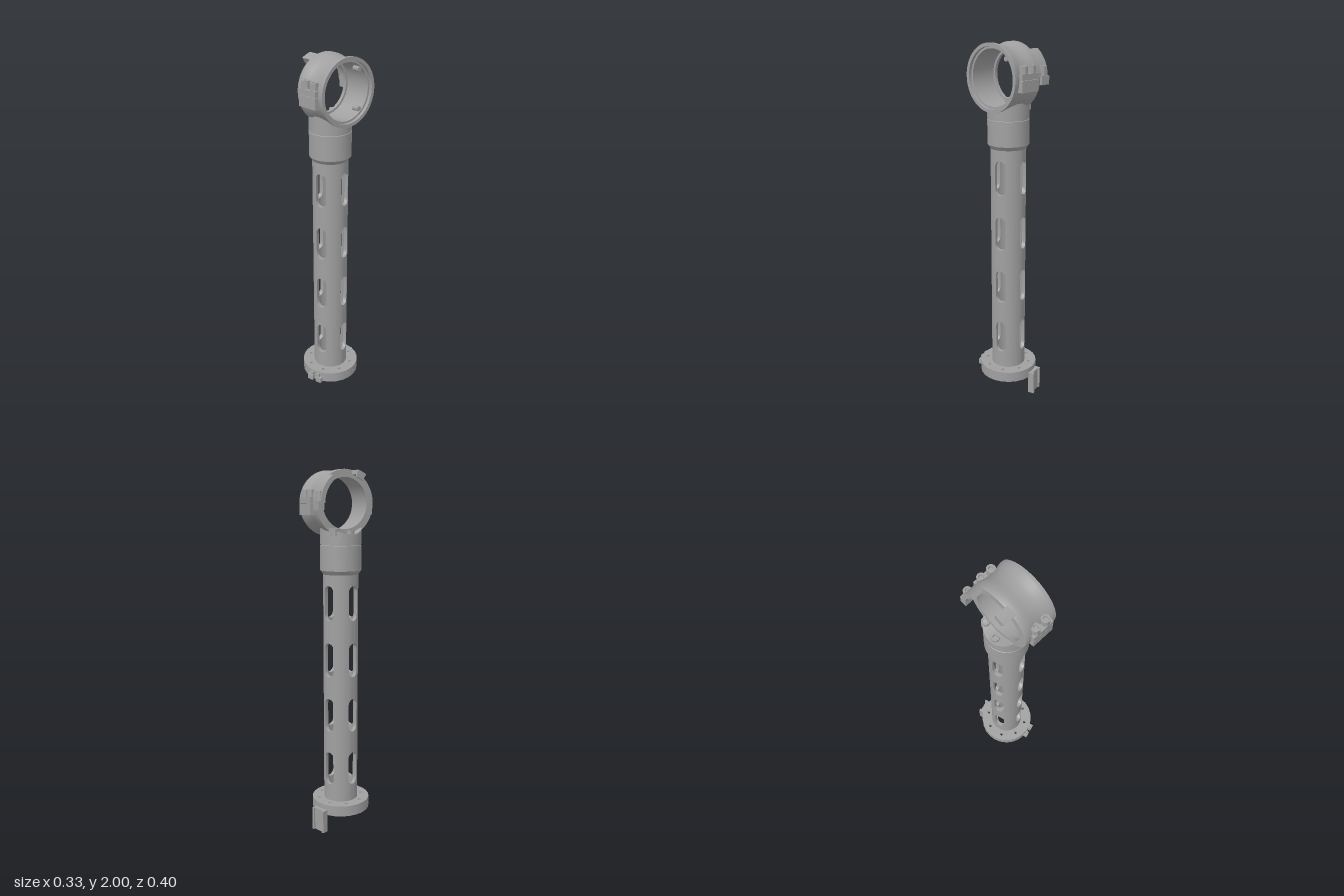
import * as THREE from 'three';
import { toCreasedNormals } from 'three/addons/utils/BufferGeometryUtils.js';

const SKEW = THREE.MathUtils.degToRad(8);
const grey = new THREE.MeshStandardMaterial({ color: 0xa0a0a0 });
grey.name = 'plain grey';

function add(parent, name, geometry, x = 0, y = 0, z = 0) {
  const mesh = new THREE.Mesh(toCreasedNormals(geometry, 0.6), grey);
  mesh.name = name;
  mesh.position.set(x, y, z);
  parent.add(mesh);
  return mesh;
}

// Closed or open profile of [radius, height] pairs turned around y
const lathe = (pts, sides = 48) =>
  new THREE.LatheGeometry(pts.map(p => new THREE.Vector2(p[0], p[1])), sides);

// Hollow ring standing on its local y = 0
const sleeve = (outer, inner, h, sides = 24) =>
  lathe([[inner, 0], [outer, 0], [outer, h], [inner, h], [inner, 0]], sides);

// Screw boss with a sunken bore
const screwBoss = (r, h) =>
  lathe([[r, 0], [r, h], [r * 0.58, h], [r * 0.5, h - 0.012], [0, h - 0.012]], 24);

// Tube wall pierced on four sides by rounded slots
function slottedTube(outer, inner, y0, y1, centres, halfWidth, halfHeight) {
  const pos = [];
  const at = (p, y, out) => {
    const a = out ? p.o : p.i, r = out ? outer : inner;
    return [r * Math.sin(a), y, r * Math.cos(a)];
  };
  const quad = (a, b, c, d) => pos.push(...a, ...b, ...c, ...a, ...c, ...d);
  const straight = halfHeight - halfWidth;
  const ringPts = [];
  for (let q = 0; q < 4; q++) {
    const turn = q * Math.PI / 2;
    const n = 10, m = 8;
    for (let k = 0; k <= n; k++) {
      const u = -halfWidth * Math.cos(Math.PI * k / n);
      ringPts.push({
        o: turn + Math.asin(u / outer), i: turn + Math.asin(u / inner),
        rise: straight + Math.sqrt(Math.max(0, halfWidth ** 2 - u * u)),
        slot: k < n, edge: k === 0 ? -1 : k === n ? 1 : 0
      });
    }
    const o = Math.asin(halfWidth / outer), i = Math.asin(halfWidth / inner);
    for (let k = 1; k < m; k++) {
      const f = k / m;
      ringPts.push({
        o: turn + o + f * (Math.PI / 2 - 2 * o),
        i: turn + i + f * (Math.PI / 2 - 2 * i), slot: false, edge: 0
      });
    }
  }
  ringPts.forEach((p, k) => {
    const s = ringPts[(k + 1) % ringPts.length];
    // Solid spans of this strip, from the foot to the top
    const lows = [[y0, y0]], highs = [];
    if (p.slot) centres.forEach(c => {
      highs.push([c - p.rise, c - s.rise]);
      lows.push([c + p.rise, c + s.rise]);
    });
    highs.push([y1, y1]);
    lows.forEach((lo, j) => {
      const hi = highs[j];
      quad(at(p, lo[0], true), at(s, lo[1], true), at(s, hi[1], true), at(p, hi[0], true));
      quad(at(s, lo[1], false), at(p, lo[0], false), at(p, hi[0], false), at(s, hi[1], false));
      quad(at(p, hi[0], true), at(s, hi[1], true), at(s, hi[1], false), at(p, hi[0], false));
      quad(at(p, lo[0], false), at(s, lo[1], false), at(s, lo[1], true), at(p, lo[0], true));
    });
    // Upright cheeks of the slots
    if (p.edge) centres.forEach(c => {
      const b = c - straight, t = c + straight;
      const near = p.edge < 0, far = !near;
      quad(at(p, b, near), at(p, b, far), at(p, t, far), at(p, t, near));
    });
  });
  const g = new THREE.BufferGeometry();
  g.setAttribute('position', new THREE.Float32BufferAttribute(pos, 3));
  return g;
}

// Piece of the head ring between two angles, running along the ring axis
function ringTab(from, to, outer, inner, length) {
  const a = THREE.MathUtils.degToRad(from), b = THREE.MathUtils.degToRad(to);
  const shape = new THREE.Shape();
  shape.absarc(0, 0, outer, a, b, false);
  shape.absarc(0, 0, inner, b, a, true);
  return new THREE.ExtrudeGeometry(shape, { depth: length, bevelEnabled: false, curveSegments: 10 })
    .rotateY(Math.PI / 2);
}

function buildBase() {
  const base = new THREE.Group();
  base.name = 'base';
  // Drilled flange plate with a hollow rim beneath
  const disc = new THREE.Shape().absarc(0, 0, 0.163, 0, Math.PI * 2);
  const hole = (x, y, r) => disc.holes.push(new THREE.Path().absarc(x, y, r, 0, Math.PI * 2));
  hole(0, 0, 0.058);
  for (let k = 0; k < 8; k++) {
    const a = (k + 0.5) * Math.PI / 4 - 0.01;
    hole(0.125 * Math.cos(a), 0.125 * Math.sin(a), 0.009);
  }
  const plate = new THREE.ExtrudeGeometry(disc, { depth: 0.03, bevelEnabled: false, curveSegments: 12 })
    .rotateX(-Math.PI / 2);
  add(base, 'flangePlate', plate, 0, 0.13, 0).rotation.y = -0.14;
  add(base, 'flangeRim', sleeve(0.163, 0.143, 0.03, 24), 0, 0.1, 0);
  // Front latch: two hooked nubs
  for (const s of [-1, 1]) {
    add(base, 'latchNub', new THREE.BoxGeometry(0.036, 0.03, 0.03), s * 0.027, 0.115, 0.165);
    add(base, 'latchHook', new THREE.BoxGeometry(0.018, 0.022, 0.02), s * 0.02, 0.14, 0.163);
  }
  // Rear foot with two ribs
  add(base, 'footPlate', new THREE.BoxGeometry(0.088, 0.13, 0.026), 0, 0.065, -0.168);
  for (const s of [-1, 1])
    add(base, 'footRib', new THREE.BoxGeometry(0.014, 0.13, 0.012), s * 0.037, 0.065, -0.184);
  base.rotation.y = SKEW;
  return base;
}

function buildHead() {
  const head = new THREE.Group();
  head.name = 'head';
  // Spool-shaped ring with inner lips, axis along x
  const ring = lathe([
    [0.173, -0.05], [0.175, -0.045], [0.175, -0.012], [0.168, 0.012], [0.164, 0.04], [0.164, 0.065],
    [0.167, 0.09], [0.174, 0.115], [0.175, 0.122], [0.175, 0.135], [0.157, 0.135], [0.157, 0.118],
    [0.146, 0.118], [0.146, -0.032], [0.134, -0.032], [0.134, -0.05], [0.173, -0.05]
  ], 64).rotateZ(-Math.PI / 2);
  add(head, 'clampRing', ring);
  // Tabs on the left end
  add(head, 'upperTab', ringTab(105, 123, 0.175, 0.152, 0.07), -0.105, 0, 0);
  add(head, 'upperTabTip', ringTab(105, 123, 0.175, 0.138, 0.01), -0.105, 0, 0);
  add(head, 'rearTab', ringTab(0, 54, 0.175, 0.15, 0.07), -0.105, 0, 0);
  add(head, 'rearTabBoss', screwBoss(0.021, 0.05), -0.074, 0.01, -0.166);
  add(head, 'rearTabLug', new THREE.BoxGeometry(0.055, 0.045, 0.035), -0.075, -0.012, -0.17);
  // Split clamp ears with paired screws, front and rear
  for (const s of [-1, 1]) {
    add(head, 'lowerEar', new THREE.BoxGeometry(0.12, 0.058, 0.036), 0.042, -0.031, s * 0.173);
    add(head, 'upperEar', new THREE.BoxGeometry(0.12, 0.03, 0.036), 0.042, 0.015, s * 0.173);
    for (const a of [0.012, 0.072])
      add(head, 'earScrewBoss', screwBoss(0.022, 0.04), a, 0.028, s * 0.169);
  }
  // Small pegs inside the right end
  for (const s of [-1, 1])
    add(head, 'innerPeg', new THREE.CylinderGeometry(0.013, 0.013, 0.04, 16).rotateZ(Math.PI / 2),
      0.095, s * 0.1, -0.09);
  head.position.set(0, 1.825, -0.003);
  head.rotation.y = -SKEW;
  return head;
}

function buildCollar() {
  const collar = new THREE.Group();
  collar.name = 'collar';
  add(collar, 'collarSleeve', lathe([
    [0.074, 1.45], [0.096, 1.45], [0.112, 1.472], [0.112, 1.605], [0.109, 1.607], [0.109, 1.612],
    [0.074, 1.612], [0.074, 1.45]
  ]));
  // Neck whose top is shaped as a saddle under the ring
  const neck = new THREE.CylinderGeometry(0.112, 0.112, 0.1, 48).translate(0, 1.661, 0);
  const p = neck.attributes.position;
  for (let k = 0; k < p.count; k++)
    if (p.getY(k) > 1.66) p.setY(k, 1.825 - Math.sqrt(0.16 ** 2 - p.getZ(k) ** 2));
  add(collar, 'neckSaddle', neck);
  add(collar, 'neckScrewBoss', screwBoss(0.021, 0.04), -0.064, 1.655, -0.075);
  add(collar, 'neckScrewBoss', screwBoss(0.021, 0.04), -0.083, 1.645, 0.01);
  collar.rotation.y = -SKEW;
  return collar;
}

export function createModel() {
  const model = new THREE.Group();
  model.name = 'clampColumn';
  model.add(buildBase());
  const tube = slottedTube(0.096, 0.076, 0.155, 1.46, [0.352, 0.667, 0.982, 1.297], 0.0315, 0.095);
  add(model, 'slottedColumn', tube).rotation.y = SKEW;
  model.add(buildCollar(), buildHead());
  return model;
}
